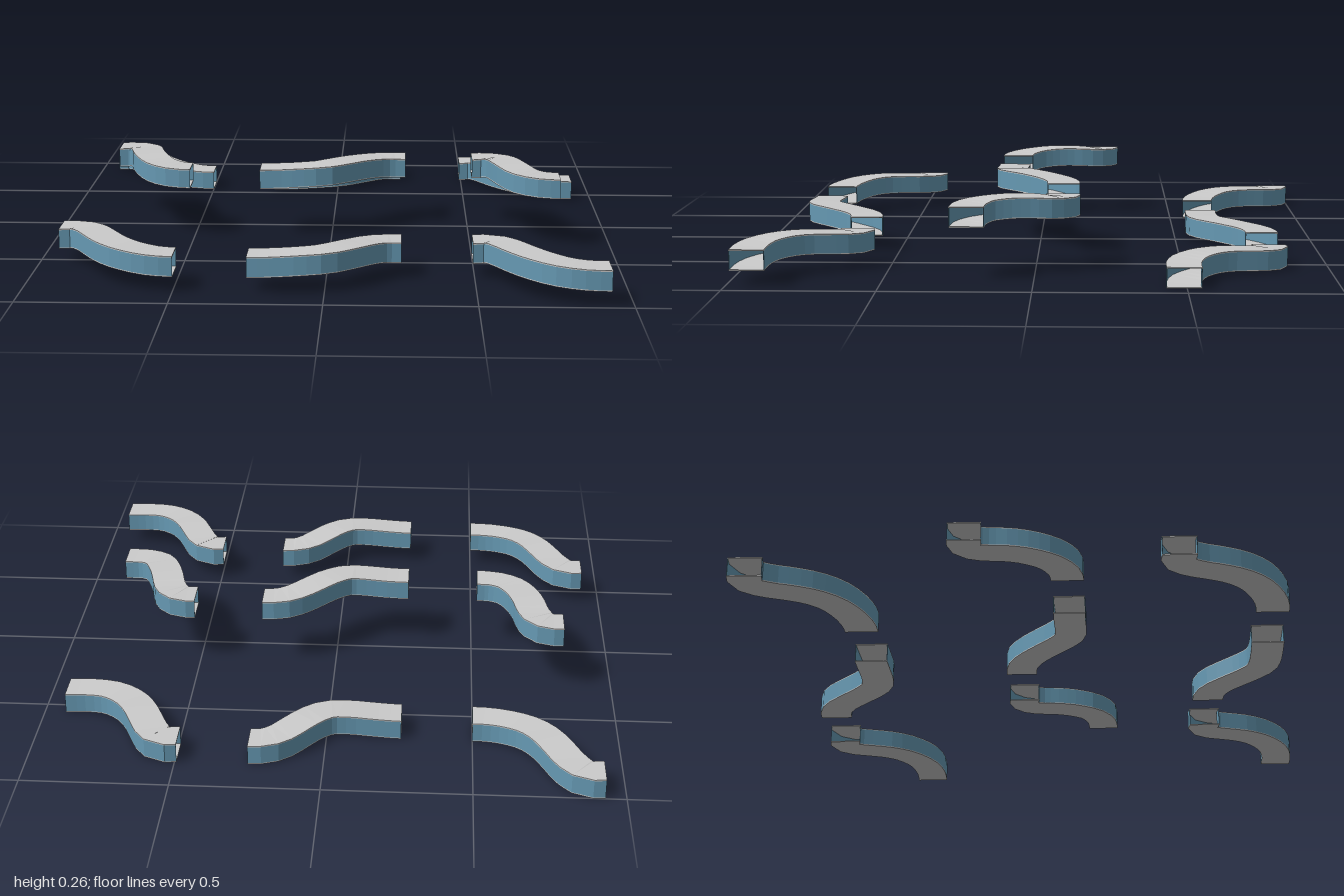
import * as THREE from 'three';

const W = 0.058, H = 0.07, ARCH = 0.013, T = 0.004, SEG = 15;

const grey = new THREE.MeshStandardMaterial({ color: 0xcccccc, flatShading: true, side: THREE.DoubleSide });
const glass = new THREE.MeshStandardMaterial({ color: 0x6699b3, flatShading: true, side: THREE.DoubleSide });

// Centre lines in plan (x, z)
const outerPaths = {
  left: [[-0.931, -0.939], [-0.884, -0.942], [-0.852, -0.926], [-0.815, -0.878], [-0.778, -0.804],
    [-0.736, -0.73], [-0.683, -0.672], [-0.604, -0.627], [-0.546, -0.611], [-0.499, -0.608]],
  centre: [[-0.256, -0.606], [-0.156, -0.603], [-0.077, -0.603], [-0.008, -0.614], [0.045, -0.651],
    [0.098, -0.709], [0.15, -0.767], [0.198, -0.794], [0.253, -0.799]],
  right: [[0.493, -0.799], [0.541, -0.804], [0.578, -0.778], [0.609, -0.72], [0.646, -0.64],
    [0.694, -0.571], [0.768, -0.513], [0.847, -0.492], [0.926, -0.491]],
};
const middlePaths = {
  left: [[-0.821, -0.233], [-0.778, -0.235], [-0.741, -0.217], [-0.715, -0.169], [-0.699, -0.095],
    [-0.673, -0.016], [-0.631, 0.058], [-0.573, 0.098], [-0.515, 0.106]],
  centre: [[-0.261, 0.106], [-0.182, 0.106], [-0.103, 0.108], [-0.034, 0.101], [0.029, 0.058],
    [0.092, -0.005], [0.15, -0.058], [0.203, -0.085], [0.268, -0.09]],
  right: [[0.515, -0.09], [0.557, -0.093], [0.594, -0.074], [0.62, -0.032], [0.636, 0.032],
    [0.662, 0.116], [0.694, 0.18], [0.747, 0.214], [0.818, 0.222]],
};

// Stations along a path: position and sideways direction, ends cut square to x
function stationsOf(points) {
  const curve = new THREE.CatmullRomCurve3(points.map(([x, z]) => new THREE.Vector3(x, 0, z)));
  return Array.from({ length: SEG + 1 }, (_, i) => {
    const s = i / SEG;
    const pos = curve.getPointAt(s);
    pos.y = ARCH * Math.sin(Math.PI * s) ** 2;
    const t = i === 0 || i === SEG ? new THREE.Vector3(1, 0, 0) : curve.getTangentAt(s);
    return { pos, side: new THREE.Vector3(-t.z, 0, t.x).normalize() };
  });
}

// Sweep a rectangular section (u sideways, v up) along the stations
function sweep(stations, u0, u1, v0, v1) {
  const corners = [[u0, v0], [u1, v0], [u1, v1], [u0, v1]];
  const pos = [], idx = [];
  for (const { pos: p, side } of stations)
    for (const [u, v] of corners) pos.push(p.x + side.x * u, p.y + v, p.z + side.z * u);
  for (let i = 0; i < stations.length - 1; i++)
    for (let k = 0; k < 4; k++) {
      const a = i * 4 + k, b = i * 4 + (k + 1) % 4, c = b + 4, d = a + 4;
      idx.push(a, d, c, a, c, b);
    }
  const e = (stations.length - 1) * 4;
  idx.push(0, 1, 2, 0, 2, 3, e, e + 2, e + 1, e, e + 3, e + 2);
  const geo = new THREE.BufferGeometry();
  geo.setAttribute('position', new THREE.Float32BufferAttribute(pos, 3));
  geo.setIndex(idx);
  const flat = geo.toNonIndexed();
  flat.computeVertexNormals();
  return flat;
}

function part(group, name, geometry, material) {
  const mesh = new THREE.Mesh(geometry, material);
  mesh.name = name;
  group.add(mesh);
}

// One open-ended walkway: floor, roof and two glazed walls
function walkway(name, points) {
  const g = new THREE.Group();
  g.name = name;
  const st = stationsOf(points);
  part(g, 'floor', sweep(st, -W, W, 0, T), grey);
  part(g, 'roof', sweep(st, -W, W, H - T, H), grey);
  part(g, 'backGlassWall', sweep(st, -W, -W + T / 2, T, H - T), glass);
  part(g, 'frontGlassWall', sweep(st, W - T / 2, W, T, H - T), glass);
  return g;
}

export function createModel() {
  const model = new THREE.Group();
  model.name = 'walkways';
  const rows = [
    ['back', outerPaths, 0, 0],
    ['middle', middlePaths, 0.177, 0],
    ['front', outerPaths, 0.05, 1.42],
  ];
  for (const [row, paths, y, z] of rows)
    for (const [column, points] of Object.entries(paths)) {
      const w = walkway(`${row} ${column} walkway`, points);
      w.position.set(0, y, z);
      model.add(w);
    }
  return model;
}
